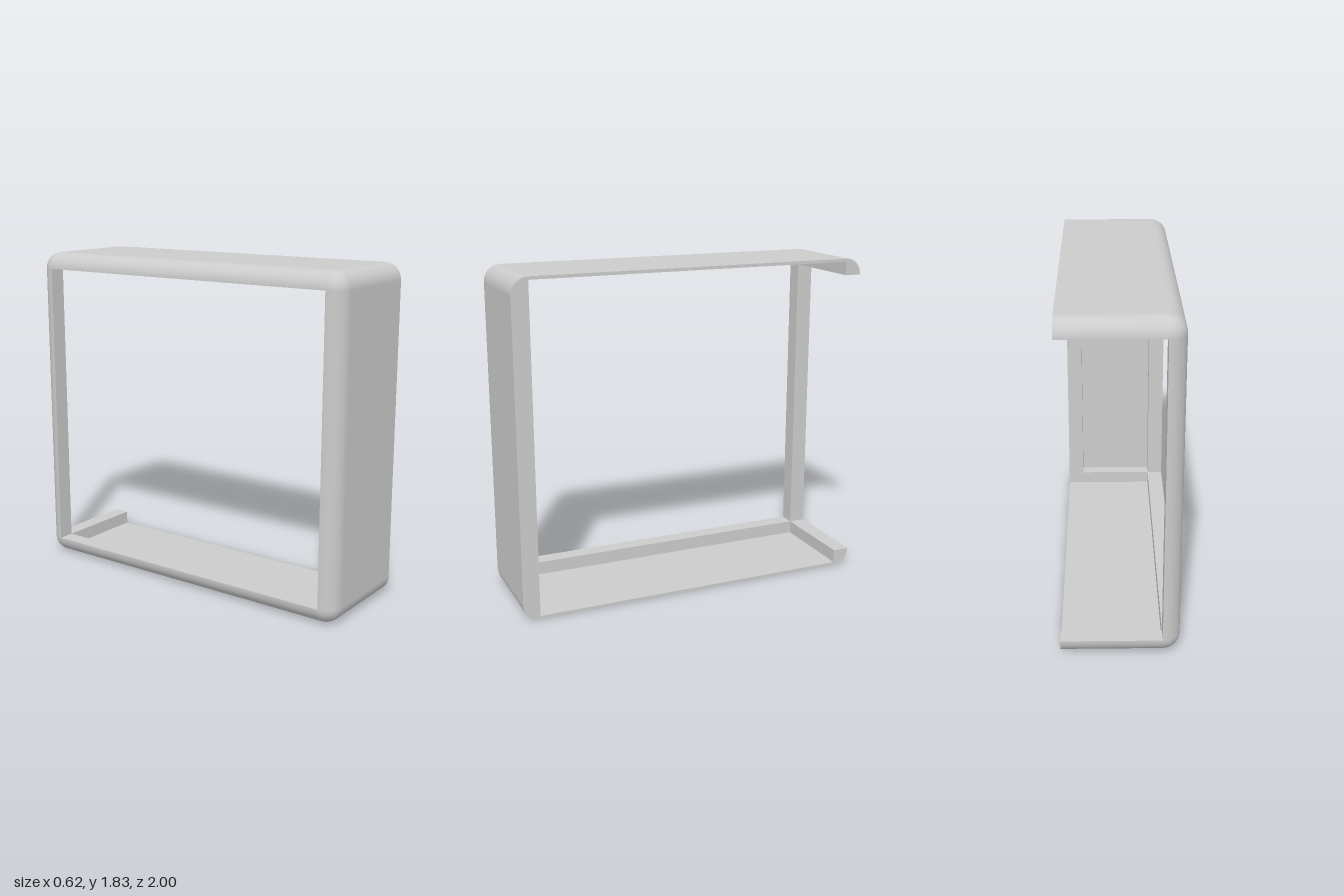
import * as THREE from 'three';
import { toCreasedNormals } from 'three/addons/utils/BufferGeometryUtils.js';

const X = 0.31, H = 1.825, Z = 1; // half width, height, half depth
const R = 0.092;                  // bar size and outer rounding
const T = 0.017;                  // panel thickness
const yc = H / 2, yi = H / 2 - R; // mid height, inner half height
const zi = Z - R;                 // inner half depth

export function createModel() {
  const model = new THREE.Group();
  model.name = 'openFrameCabinet';
  const material = new THREE.MeshStandardMaterial({ color: 0xcccccc });

  const add = (name, geometry) => {
    const mesh = new THREE.Mesh(geometry, material);
    mesh.name = name;
    model.add(mesh);
    return mesh;
  };

  // Quarter-round bar: u and v point from its inner edge to the outside
  const profile = new THREE.Shape();
  profile.moveTo(0, 0);
  profile.lineTo(R, 0);
  profile.absarc(0, 0, R, 0, Math.PI / 2, false);
  profile.closePath();
  const bar = (name, length, centre, u, v) => {
    const geometry = new THREE.ExtrudeGeometry(profile, { depth: length, bevelEnabled: false, curveSegments: 12 });
    geometry.translate(0, 0, -length / 2);
    const U = new THREE.Vector3(...u), V = new THREE.Vector3(...v);
    const basis = new THREE.Matrix4().makeBasis(U, V, U.clone().cross(V));
    const mesh = add(name, toCreasedNormals(geometry, 0.5));
    mesh.applyMatrix4(basis.setPosition(...centre));
  };

  // Box given by its lower and upper corner
  const box = (name, a, b) => {
    const size = a.map((v, i) => b[i] - v);
    add(name, new THREE.BoxGeometry(...size)).position.set(...a.map((v, i) => (v + b[i]) / 2));
  };

  for (const s of [1, -1]) {
    const level = s > 0 ? 'top' : 'bottom';
    const end = s > 0 ? 'front' : 'back';
    const y = yc + s * yi;

    // Bars along the right side opening
    bar(level + 'SideRail', 2 * zi, [-X + R, y, 0], [-1, 0, 0], [0, s, 0]);
    bar(end + 'SidePost', 2 * yi, [-X + R, yc, s * zi], [-1, 0, 0], [0, 0, s]);

    for (const q of [1, -1]) {
      // Cross bars at front and back
      bar(level + (q > 0 ? 'Front' : 'Back') + 'CrossBar', 2 * X - R, [R / 2, y, q * zi], [0, s, 0], [0, 0, q]);
      // Rounded corners
      const corner = new THREE.SphereGeometry(R, 12, 12,
        q > 0 ? 0 : Math.PI * 1.5, Math.PI / 2, s > 0 ? 0 : Math.PI / 2, Math.PI / 2);
      add(level + (q > 0 ? 'Front' : 'Back') + 'Corner', corner).position.set(-X + R, y, q * zi);
    }

    // Thin top and bottom panels
    const outer = yc + s * yc, inner = outer - s * T;
    box(level + 'Panel', [-X + R, Math.min(outer, inner), -zi], [X, Math.max(outer, inner), zi]);
  }

  // Thin front panel and the square post at its open edge
  box('frontPanel', [-X + R, R, Z - T], [X - R, H - R, Z]);
  box('frontOpenEdgePost', [X - R, R, zi], [X, H - R, Z]);

  return model;
}
